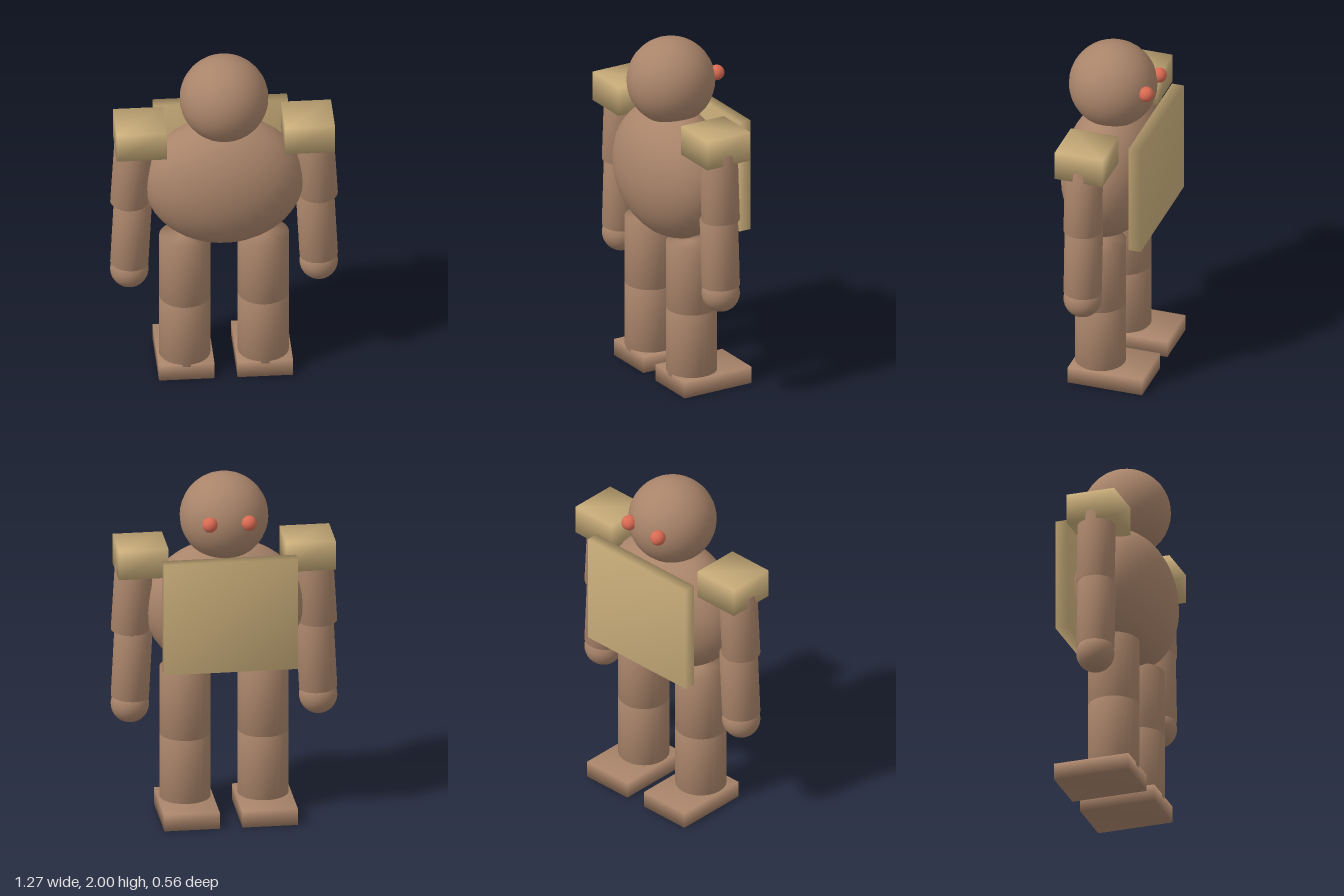
import * as THREE from 'three';
import { mergeVertices } from 'three/addons/utils/BufferGeometryUtils.js';

const mat = (name, color) => new THREE.MeshStandardMaterial({ name, color });

// Shared corner normals give the blocks and limbs their soft shading
function soften(geometry) {
  geometry.deleteAttribute('normal');
  geometry.deleteAttribute('uv');
  const merged = mergeVertices(geometry, 1e-4);
  merged.computeVertexNormals();
  return merged;
}

export function createModel() {
  const model = new THREE.Group();
  model.name = 'guardian';
  const clay = mat('clayBrown', 0xa9846a);
  const plate = mat('sandPlate', 0xc9ad7a);
  const red = mat('eyeRed', 0xd96a52);
  const Z = 0.013; // shared body axis

  const add = (name, geometry, material, x, y, z) => {
    const mesh = new THREE.Mesh(geometry, material);
    mesh.name = name;
    mesh.position.set(x, y, z);
    model.add(mesh);
    return mesh;
  };
  const ball = (name, material, r, x, y, z) =>
    add(name, new THREE.SphereGeometry(r, 32, 20), material, x, y, z);
  const block = (name, material, w, h, d, x, y, z) =>
    add(name, soften(new THREE.BoxGeometry(w, h, d)), material, x, y, z);

  // Limb cylinder between a top and a bottom point
  const limb = (name, r, xTop, yTop, xBottom, yBottom) => {
    const dx = xTop - xBottom, dy = yTop - yBottom;
    const geometry = soften(new THREE.CylinderGeometry(r, r, Math.hypot(dx, dy), 24));
    const mesh = add(name, geometry, clay, (xTop + xBottom) / 2, (yTop + yBottom) / 2, Z);
    mesh.rotation.z = -Math.atan2(dx, dy);
  };

  // Torso, head and chest plate (the face looks towards -z)
  ball('torso', clay, 1, 0, 1.22, Z).scale.set(0.446, 0.386, 0.268);
  ball('head', clay, 0.247, 0, 1.753, Z);
  block('chestPlate', plate, 0.75, 0.654, 0.07, 0, 1.253, -0.24);

  for (const [side, s] of [['left', 1], ['right', -1]]) {
    ball(side + 'Eye', red, 0.043, s * 0.11, 1.787, -0.219);
    block(side + 'Shoulder', plate, 0.278, 0.17, 0.28, s * 0.469, 1.535, 0.01);

    // Arm
    limb(side + 'UpperArm', 0.107, s * 0.504, 1.5, s * 0.528, 1.098);
    limb(side + 'Forearm', 0.107, s * 0.508, 1.1, s * 0.528, 0.705);
    ball(side + 'Hand', clay, 0.107, s * 0.528, 0.66, Z);

    // Leg
    limb(side + 'Thigh', 0.143, s * 0.219, 0.865, s * 0.219, 0.472);
    limb(side + 'Shin', 0.143, s * 0.219, 0.472, s * 0.219, 0.082);
    block(side + 'Foot', clay, 0.31, 0.097, 0.436, s * 0.219, 0.0485, -0.065);
  }
  return model;
}
